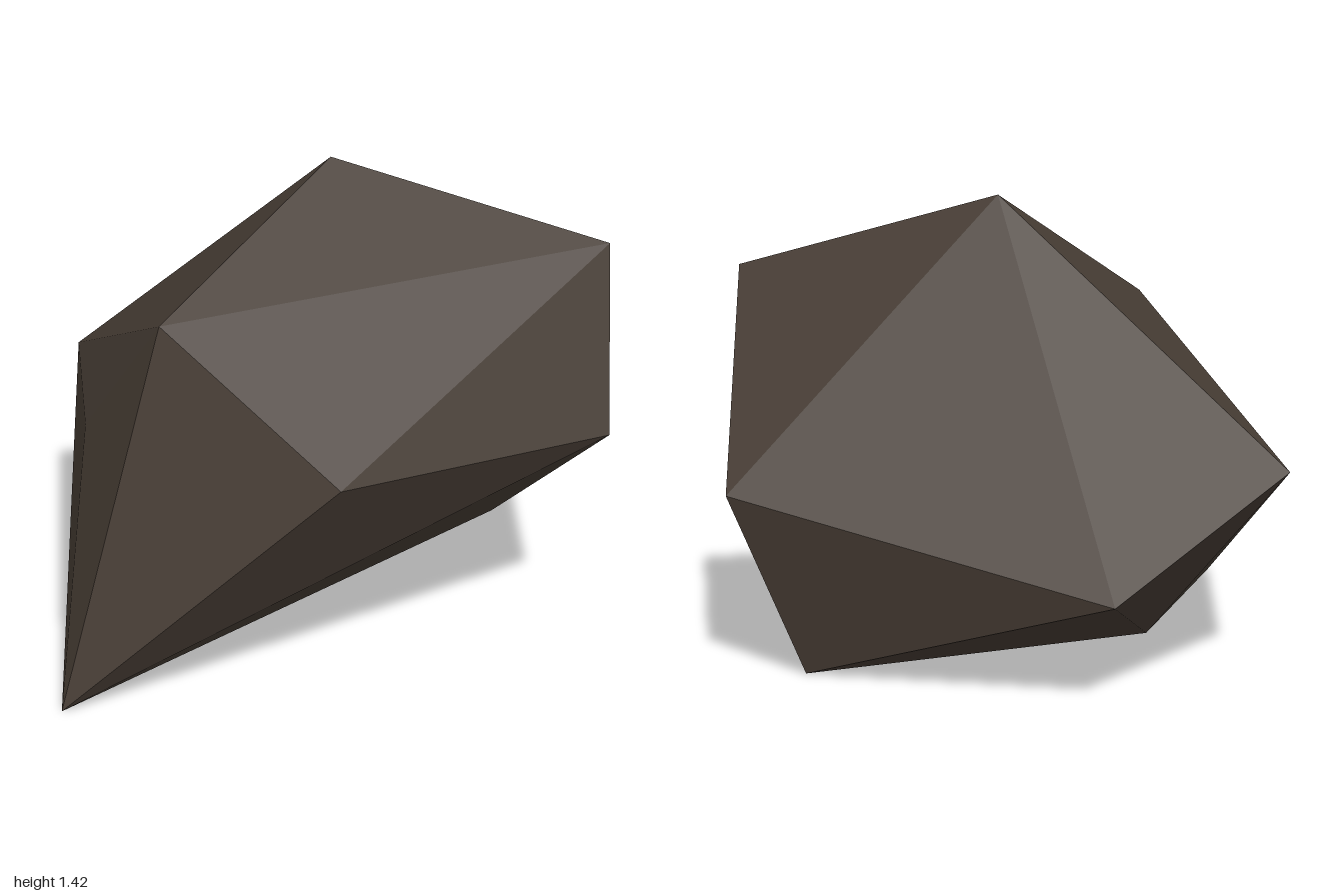
import * as THREE from 'three';
import { ConvexGeometry } from 'three/addons/geometries/ConvexGeometry.js';

export function createModel() {
  const group = new THREE.Group();
  group.name = 'rock';

  const darkStone = new THREE.MeshStandardMaterial({ color: 0x453b33 });
  darkStone.name = 'dark stone';
  darkStone.flatShading = true;

  // Corners of the faceted boulder, from the peak down to the base
  const corners = [
    [0.05, 1.42, 0.07],   // peak
    [0.78, 1.19, 0.52],   // left shoulder
    [-0.62, 1.07, 0.42],  // right shoulder
    [-0.26, 0.70, 0.91],  // front ledge
    [0.66, 0.68, 0.78],
    [1.00, 0.55, -0.13],  // left flank
    [-0.75, 0.65, 0.05],  // right flank
    [-0.55, 0.62, -0.76], // back
    [0.09, 0.30, -0.91],
    [-1.00, 0, 0.60],     // base triangle
    [0.78, 0, -0.19],
    [-0.38, 0, -0.15],
  ].map((c) => new THREE.Vector3(...c));

  const boulder = new THREE.Mesh(new ConvexGeometry(corners), darkStone);
  boulder.name = 'boulder';
  group.add(boulder);
  return group;
}
